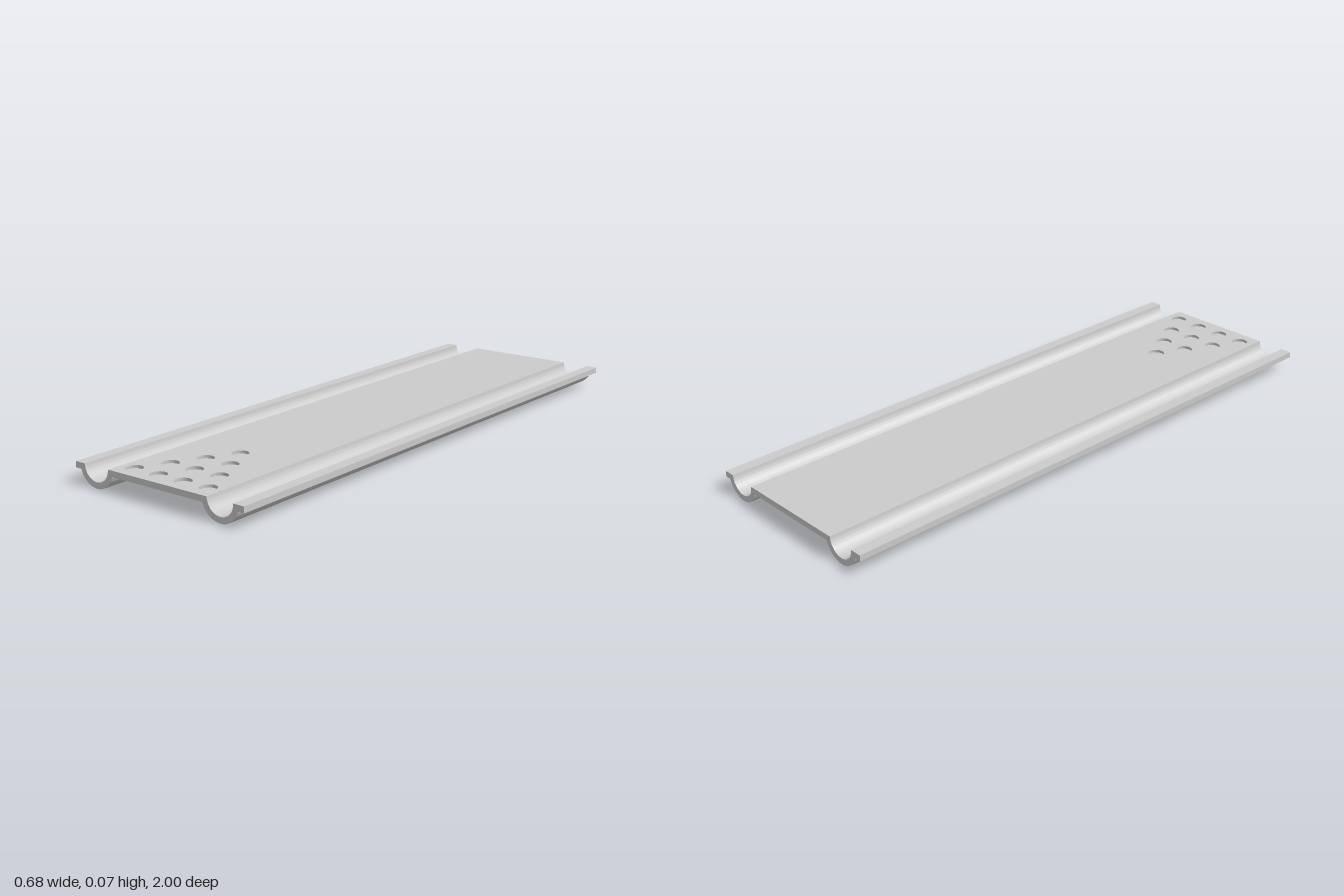
import * as THREE from 'three';
import { toCreasedNormals } from 'three/addons/utils/BufferGeometryUtils.js';

const TOP = 0.07, UNDER = 0.05, HALF_LENGTH = 1;
const DECK = 0.2, EDGE = 0.34;              // half widths
const GUTTER_X = 0.25, INNER = 0.05, OUTER = 0.07;
const SPOT_R = 0.028, SPOT_DEPTH = 0.01;

// Points on a gutter arc, centred at deck height
function arc(radius, from, to, steps = 32) {
  return Array.from({ length: steps + 1 }, (_, i) => {
    const a = from + (to - from) * i / steps;
    return new THREE.Vector2(GUTTER_X + radius * Math.cos(a), TOP + radius * Math.sin(a));
  });
}

// Counter-clockwise cross-section; the deck top joins the two halves
function crossSection() {
  const dip = Math.asin((TOP - UNDER) / OUTER);
  const half = [
    ...arc(OUTER, -Math.PI + dip, -dip),
    new THREE.Vector2(EDGE, UNDER),
    new THREE.Vector2(EDGE, TOP),
    ...arc(INNER, 0, -Math.PI),
  ];
  const mirrored = half.map(p => new THREE.Vector2(-p.x, p.y)).reverse();
  return { points: [...half, ...mirrored], deckTop: half.length - 1 };
}

// Sweep the section along z, leaving out the deck top
function sweep({ points, deckTop }) {
  const pos = [], L = HALF_LENGTH;
  points.forEach((a, i) => {
    if (i === deckTop) return;
    const b = points[(i + 1) % points.length];
    pos.push(a.x, a.y, -L, b.x, b.y, -L, b.x, b.y, L);
    pos.push(a.x, a.y, -L, b.x, b.y, L, a.x, a.y, L);
  });
  const geometry = new THREE.BufferGeometry();
  geometry.setAttribute('position', new THREE.Float32BufferAttribute(pos, 3));
  return toCreasedNormals(geometry, Math.PI / 6);
}

export function createModel() {
  const model = new THREE.Group();
  const material = new THREE.MeshStandardMaterial({ color: 0xcccccc });
  const inside = new THREE.MeshStandardMaterial({ color: 0xcccccc, side: THREE.BackSide });
  const add = (name, geometry, mat = material) => {
    const mesh = new THREE.Mesh(geometry, mat);
    mesh.name = name;
    model.add(mesh);
    return mesh;
  };

  // Gutters, rims and underside
  const section = crossSection();
  add('guttersAndUnderside', sweep(section));

  // End faces
  const cap = new THREE.ShapeGeometry(new THREE.Shape(section.points));
  add('frontEnd', cap).position.z = HALF_LENGTH;
  const back = add('backEnd', cap);
  back.position.z = -HALF_LENGTH;
  back.rotation.y = Math.PI;

  // Deck top with a triangle of ten shallow round recesses
  const deck = new THREE.Shape([
    new THREE.Vector2(-DECK, -HALF_LENGTH), new THREE.Vector2(DECK, -HALF_LENGTH),
    new THREE.Vector2(DECK, HALF_LENGTH), new THREE.Vector2(-DECK, HALF_LENGTH),
  ]);
  const wall = new THREE.CylinderGeometry(SPOT_R, SPOT_R, SPOT_DEPTH, 32, 1, true);
  const floor = new THREE.CircleGeometry(SPOT_R, 32).rotateX(-Math.PI / 2);
  for (let row = 0; row < 4; row++) {
    for (let i = 0; i <= row; i++) {
      const x = (i - row / 2) * 0.1, z = 0.64 + row * 0.1;
      const hole = Array.from({ length: 32 }, (_, k) => {
        const a = -k / 32 * Math.PI * 2;
        return new THREE.Vector2(x + SPOT_R * Math.cos(a), -z + SPOT_R * Math.sin(a));
      });
      deck.holes.push(new THREE.Path(hole));
      add('recessWall', wall, inside).position.set(x, TOP - SPOT_DEPTH / 2, z);
      add('recessFloor', floor).position.set(x, TOP - SPOT_DEPTH, z);
    }
  }
  add('deckTop', new THREE.ShapeGeometry(deck).rotateX(-Math.PI / 2)).position.y = TOP;

  return model;
}
